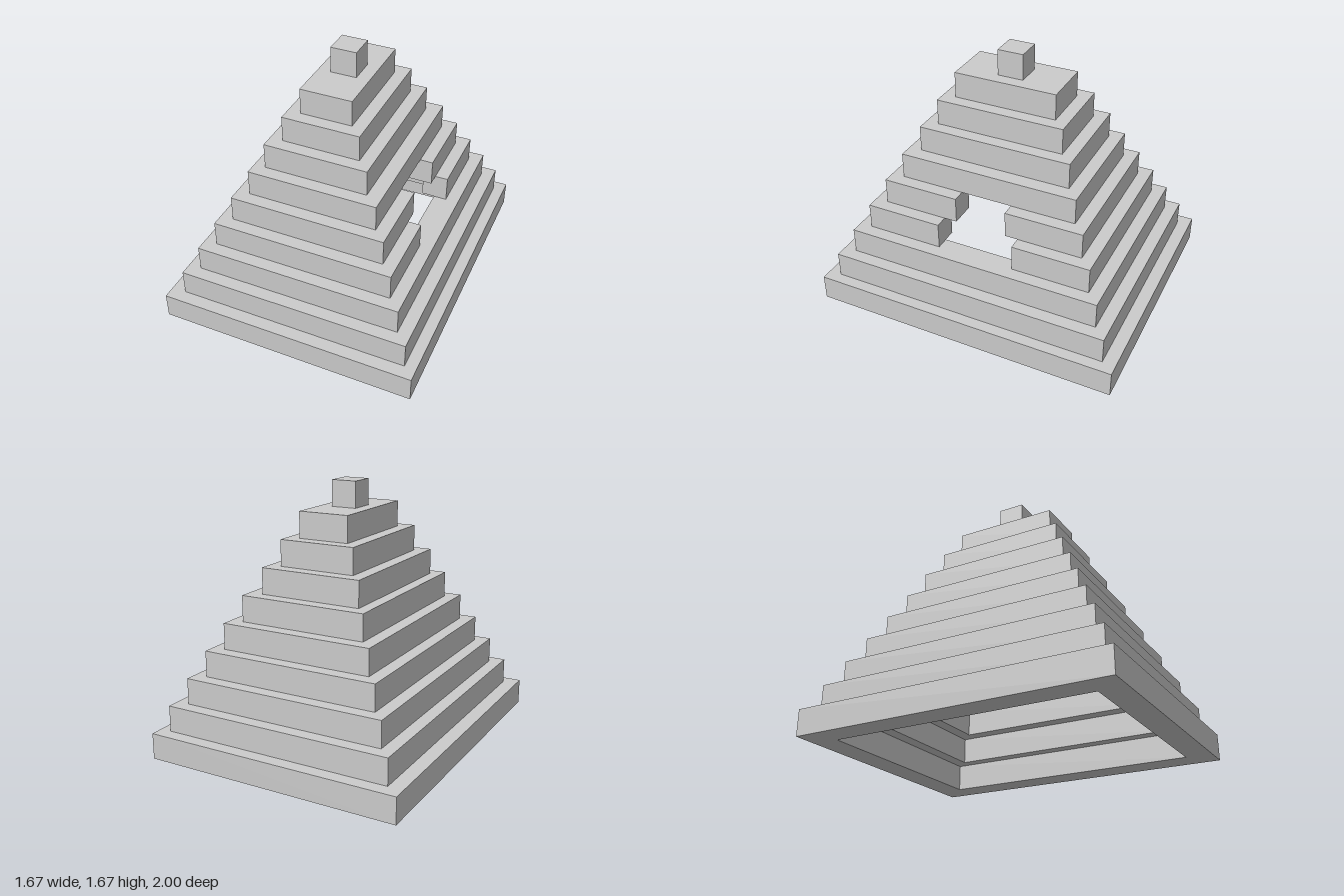
import * as THREE from 'three';

const U = 1 / 12;      // step inset
const H = 2 * U;       // course height and wall thickness

const rect = (hx, hz) => [[-hx, -hz], [hx, -hz], [hx, hz], [-hx, hz]];
const toPoints = (pts) => pts.map(([x, y]) => new THREE.Vector2(x, y));

// Plan of one course: solid, closed ring, or ring with a doorway on the +x side
function coursePlan(hx, hz, gap) {
  const ix = hx - H, iz = hz - H;
  if (gap) {
    return new THREE.Shape(toPoints([
      [hx, gap], [hx, hz], [-hx, hz], [-hx, -hz], [hx, -hz], [hx, -gap],
      [ix, -gap], [ix, -iz], [-ix, -iz], [-ix, iz], [ix, iz], [ix, gap],
    ]));
  }
  const shape = new THREE.Shape(toPoints(rect(hx, hz)));
  if (ix > 0.01 && iz > 0.01) shape.holes.push(new THREE.Path(toPoints(rect(ix, iz))));
  return shape;
}

export function createModel() {
  const group = new THREE.Group();
  group.name = 'steppedPyramid';
  const material = new THREE.MeshStandardMaterial({ color: 0xcccccc, flatShading: true });

  // Half-width of the doorway, by course
  const doorway = { 3: 3 * U, 4: 2 * U };

  // Nine hollow courses, each one step smaller than the one below
  for (let i = 0; i < 9; i++) {
    const plan = coursePlan((10 - i) * U, (12 - i) * U, doorway[i]);
    const geometry = new THREE.ExtrudeGeometry(plan, { depth: H, bevelEnabled: false });
    geometry.rotateX(-Math.PI / 2);
    const course = new THREE.Mesh(geometry, material);
    course.name = `course${i + 1}`;
    // The middle courses sit slightly off centre
    course.position.set(i >= 1 && i <= 5 ? 0.01 : 0, i * H, 0);
    group.add(course);
  }

  // Cube on the summit
  const capstone = new THREE.Mesh(new THREE.BoxGeometry(H, H, H), material);
  capstone.name = 'capstone';
  capstone.position.y = 9.5 * H;
  group.add(capstone);

  return group;
}
